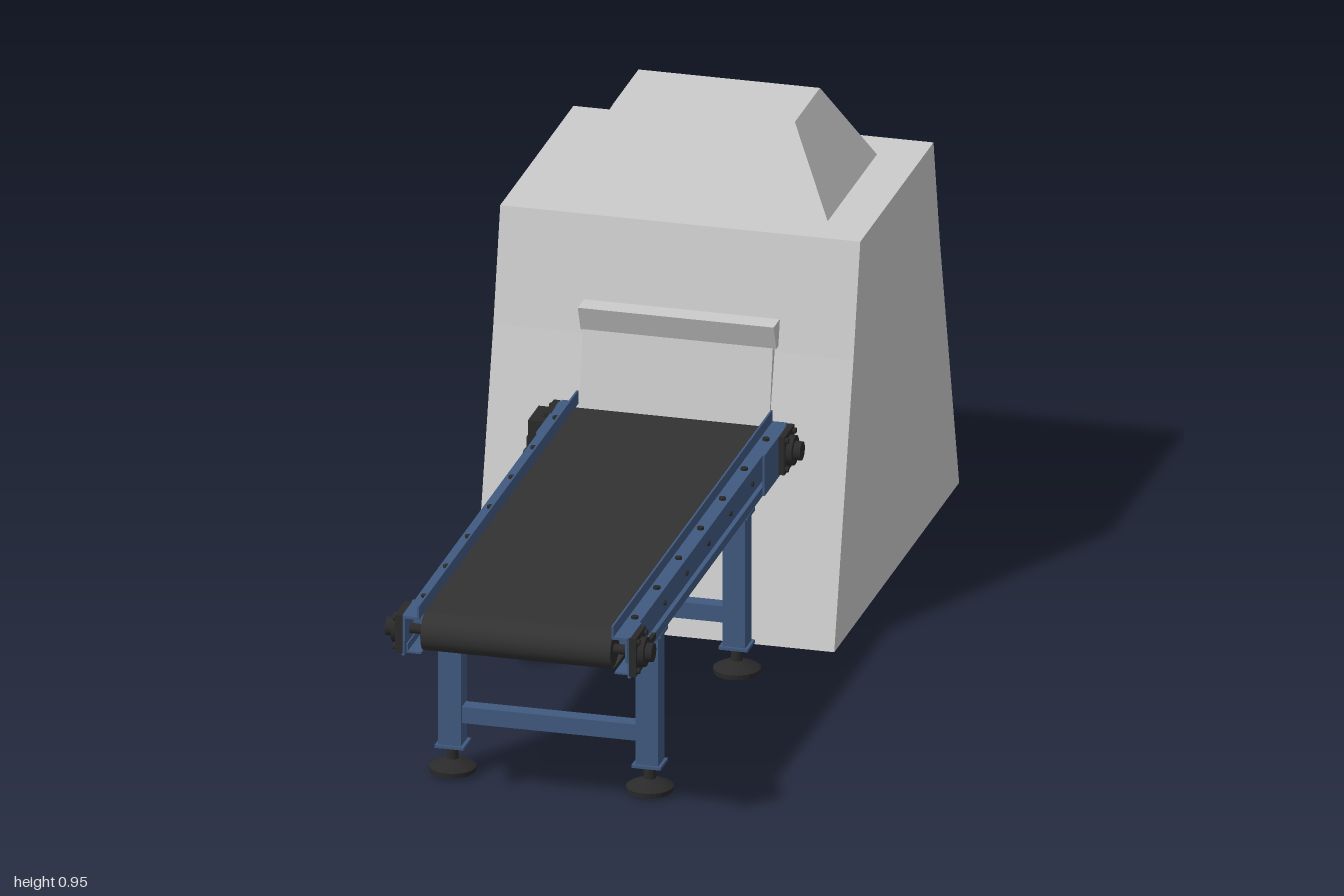
import * as THREE from 'three';

const mat = (name, color, side = THREE.FrontSide) => {
  const m = new THREE.MeshStandardMaterial({ color, side });
  m.name = name;
  return m;
};

export function createModel() {
  const grey = mat('housing grey', 0xcccccc);
  const blue = mat('frame blue', 0x405a80);
  const rubber = mat('belt rubber', 0x323232);
  const black = mat('fitting black', 0x2a2a2a);

  const model = new THREE.Group();
  const add = (parent, name, geo, material, x = 0, y = 0, z = 0) => {
    const m = new THREE.Mesh(geo, material);
    m.name = name;
    m.position.set(x, y, z);
    parent.add(m);
    return m;
  };
  // box given by its limits on each axis
  const box = (parent, name, material, x0, x1, y0, y1, z0, z1) =>
    add(parent, name, new THREE.BoxGeometry(x1 - x0, y1 - y0, z1 - z0), material,
      (x0 + x1) / 2, (y0 + y1) / 2, (z0 + z1) / 2);
  // cylinder lying along x
  const axle = (parent, name, material, r, x0, x1, y, z, sides = 24) =>
    add(parent, name, new THREE.CylinderGeometry(r, r, x1 - x0, sides).rotateZ(Math.PI / 2),
      material, (x0 + x1) / 2, y, z);
  // side profile in (z, y), extruded from x0 to x1
  const profileX = (parent, name, material, shape, x0, x1) => {
    const geo = new THREE.ExtrudeGeometry(shape, { depth: x1 - x0, bevelEnabled: false, curveSegments: 16 });
    return add(parent, name, geo.rotateY(-Math.PI / 2), material, x1, 0, 0);
  };
  const poly = pts => new THREE.Shape(pts.map(p => new THREE.Vector2(...p)));

  // Machine housing
  const housing = new THREE.Group();
  housing.name = 'housing';
  model.add(housing);
  profileX(housing, 'housingBody', grey, poly([
    [-1, 0], [-0.075, 0], [-0.217, 0.56], [-0.268, 0.79], [-0.81, 0.79], [-0.858, 0.56]]), -0.365, 0.365);

  const hood = new THREE.BoxGeometry(0.55, 0.165, 0.365);
  const p = hood.attributes.position;
  for (let i = 0; i < p.count; i++) {
    if (p.getY(i) > 0) p.setXYZ(i, Math.sign(p.getX(i)) * 0.184, p.getY(i), Math.sign(p.getZ(i)) * 0.093);
  }
  hood.computeVertexNormals();
  add(housing, 'roofHood', hood, grey, 0, 0.8725, -0.5375);

  profileX(housing, 'inletPanel', grey, poly([
    [-0.25, 0.36], [-0.168, 0.36], [-0.18, 0.43], [-0.205, 0.575], [-0.25, 0.575]]), -0.18, 0.205);
  profileX(housing, 'inletLip', grey, poly([
    [-0.24, 0.575], [-0.205, 0.572], [-0.185, 0.625], [-0.24, 0.625]]), -0.185, 0.212);

  // Conveyor, symmetric about its own centre line
  const conveyor = new THREE.Group();
  conveyor.name = 'conveyor';
  conveyor.position.x = 0.0125;
  model.add(conveyor);
  const Y = 0.39, Z0 = -0.14, Z1 = 0.96;

  const loop = (path, r) => {
    path.absarc(Z1, Y, r, -Math.PI / 2, Math.PI / 2, false);
    path.absarc(Z0, Y, r, Math.PI / 2, Math.PI * 1.5, false);
    path.closePath();
    return path;
  };
  const beltShape = loop(new THREE.Shape(), 0.04);
  beltShape.holes.push(loop(new THREE.Path(), 0.036));
  profileX(conveyor, 'belt', rubber, beltShape, -0.1925, 0.1925);
  for (const z of [Z0, Z1]) {
    axle(conveyor, 'drum', black, 0.036, -0.19, 0.19, Y, z);
    axle(conveyor, 'drumShaft', black, 0.01, -0.245, 0.245, Y, z);
  }

  for (const s of [-1, 1]) {
    const side = new THREE.Group();
    side.name = s > 0 ? 'leftSide' : 'rightSide';
    conveyor.add(side);
    const sbox = (name, m, a, b, ...rest) =>
      box(side, name, m, Math.min(s * a, s * b), Math.max(s * a, s * b), ...rest);
    const saxle = (name, m, r, a, b, ...rest) =>
      axle(side, name, m, r, Math.min(s * a, s * b), Math.max(s * a, s * b), ...rest);

    // Side rail: web, top flange, inner guide lip, inner beam and lower flange
    sbox('railWeb', blue, 0.223, 0.228, 0.378, 0.43, -0.18, 1);
    sbox('railTop', blue, 0.196, 0.228, 0.425, 0.43, -0.18, 1);
    sbox('guideLip', blue, 0.195, 0.199, 0.425, 0.453, -0.18, 1);
    sbox('railBeam', blue, 0.195, 0.225, 0.378, 0.404, -0.12, 0.94);
    sbox('lowerRail', blue, 0.196, 0.228, 0.345, 0.349, -0.16, 0.98);
    sbox('lowerRailEdge', blue, 0.223, 0.228, 0.345, 0.364, -0.16, 0.98);
    sbox('endPlate', blue, 0.226, 0.232, 0.345, 0.43, -0.17, 0);
    sbox('endPlate', blue, 0.226, 0.232, 0.345, 0.43, 0.91, 0.995);
    sbox('tensioner', black, 0.228, 0.236, 0.362, 0.374, 0.82, 0.92);
    for (let i = 0; i < 7; i++) {
      add(side, 'railBolt', new THREE.CylinderGeometry(0.007, 0.007, 0.006, 10), black,
        s * 0.213, 0.432, -0.08 + i * 0.162);
      saxle('webBolt', black, 0.005, 0.226, 0.232, 0.402, -0.08 + i * 0.162, 10);
    }

    // Flanged bearings
    for (const z of [Z0, Z1]) {
      sbox('bearingPlate', black, 0.23, 0.244, 0.35, 0.43, z - 0.037, z + 0.037);
      saxle('bearingHousing', black, 0.03, 0.24, 0.256, Y, z);
      saxle('bearingCap', black, 0.019, 0.25, 0.27, Y, z);
      for (const dy of [-0.03, 0.03]) for (const dz of [-0.028, 0.028])
        saxle('bearingBolt', black, 0.006, 0.24, 0.25, Y + dy, z + dz, 6);
    }

    // Legs with end plates and levelling feet
    for (const z of [0.088, 0.733]) {
      const x = s * 0.2;
      sbox('leg', blue, 0.177, 0.223, 0.063, 0.345, z - 0.023, z + 0.023);
      sbox('legTopPlate', blue, 0.169, 0.229, 0.338, 0.345, z - 0.029, z + 0.029);
      sbox('legBasePlate', blue, 0.17, 0.229, 0.06, 0.066, z - 0.028, z + 0.028);
      const foot = [[0, 0], [0.046, 0], [0.047, 0.01], [0.04, 0.014], [0.018, 0.024], [0.012, 0.026],
        [0.012, 0.06], [0, 0.06]].map(q => new THREE.Vector2(...q));
      const geo = new THREE.LatheGeometry(foot, 24).toNonIndexed();
      geo.computeVertexNormals();
      add(side, 'foot', geo, black, x, 0.006, z);
    }
  }
  for (const z of [0.088, 0.733])
    box(conveyor, 'legCrossbar', blue, -0.178, 0.178, 0.113, 0.147, z - 0.016, z + 0.016);

  // Drive: gearbox on the shaft with a motor hanging below
  const drive = new THREE.Group();
  drive.name = 'drive';
  drive.position.set(-0.242, 0, -0.112);
  model.add(drive);
  box(drive, 'gearbox', black, -0.016, 0.03, 0.345, 0.42, -0.05, 0.03);
  add(drive, 'motorFlange', new THREE.CylinderGeometry(0.026, 0.026, 0.03, 20), black, 0, 0.36, 0);
  add(drive, 'motor', new THREE.CylinderGeometry(0.031, 0.031, 0.085, 20), black, 0, 0.305, 0);
  add(drive, 'motorCap', new THREE.CylinderGeometry(0.031, 0.026, 0.012, 20), black, 0, 0.257, 0);
  for (let i = 0; i < 16; i++) {
    const fin = add(drive, 'motorFin', new THREE.BoxGeometry(0.066, 0.078, 0.003), black, 0, 0.305, 0);
    fin.rotation.y = i * Math.PI / 16;
  }
  return model;
}
